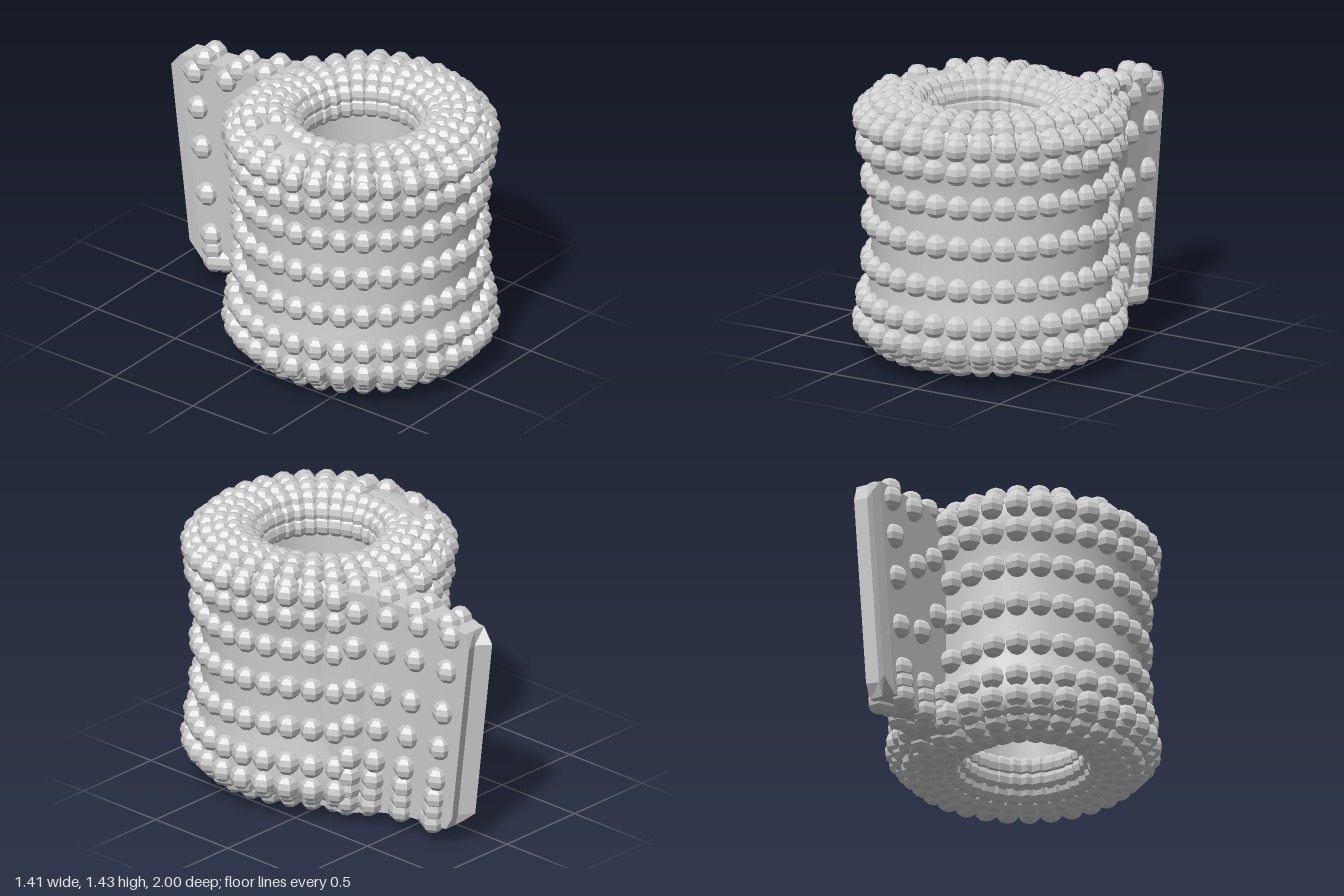
import * as THREE from 'three';
import { mergeGeometries } from 'three/addons/utils/BufferGeometryUtils.js';

const CENTRE_Z = 0.3;
const SEGMENTS = 32;
const BEAD_R = 0.065;

const clamp = THREE.MathUtils.clamp;

// The sleeve dips slightly where it meets the tab.
function sag(x, z) {
  return -0.06 * clamp((0.05 - z) / 0.35, 0, 1) * Math.exp(-Math.pow((x - 0.18) / 0.28, 2));
}

// Tab cross-sections from root to tip: z, left x, right x, bottom y, top y
const STATIONS = [
  [-0.1, 0.12, 0.44, 0.1, 1.31],
  [-0.2, 0.1, 0.38, 0.06, 1.31],
  [-0.28, 0.1, 0.32, 0.06, 1.3],
  [-0.38, 0.1, 0.28, 0.08, 1.28],
  [-0.52, 0.1, 0.25, 0.1, 1.26],
  [-0.72, 0.1, 0.24, 0.11, 1.25],
  [-0.81, 0.1, 0.24, 0.11, 1.24],
  [-0.885, 0.11, 0.24, 0.18, 1.16],
];

// The tab leans back with height, more so away from the root.
const lean = (y, z) => -0.12 * (y - 0.2) * clamp((-0.1 - z) / 0.25, 0, 1);

// Interpolated cross-section at a given z
function sectionAt(z) {
  let i = 0;
  while (i < STATIONS.length - 2 && STATIONS[i + 1][0] > z) i++;
  const a = STATIONS[i], b = STATIONS[i + 1];
  const t = clamp((z - a[0]) / (b[0] - a[0]), 0, 1);
  return a.map((v, k) => v + (b[k] - v) * t);
}

function makeSleeve() {
  const profile = [
    [0.57, 0.115], [0.62, 0.145], [0.645, 0.21], [0.63, 0.335], [0.607, 0.45], [0.604, 0.525],
    [0.602, 0.745], [0.604, 0.96], [0.61, 1.06], [0.63, 1.15], [0.645, 1.28], [0.615, 1.34],
    [0.57, 1.365], [0.5, 1.375], [0.43, 1.375], [0.375, 1.35], [0.345, 1.3], [0.335, 1.22],
    [0.33, 0.745], [0.335, 0.28], [0.345, 0.19], [0.375, 0.135], [0.43, 0.11], [0.5, 0.11], [0.57, 0.115],
  ].map(([r, y]) => new THREE.Vector2(r, y));
  const geo = new THREE.LatheGeometry(profile, SEGMENTS);
  geo.translate(0, 0, CENTRE_Z);
  const p = geo.attributes.position;
  for (let i = 0; i < p.count; i++) p.setY(i, p.getY(i) + sag(p.getX(i), p.getZ(i)));
  return geo;
}

function makeTab() {
  const n = STATIONS.length - 1;
  const geo = new THREE.BoxGeometry(1, 1, 1, 2, 5, n);
  const p = geo.attributes.position;
  for (let i = 0; i < p.count; i++) {
    const u = p.getX(i) + 0.5, v = p.getY(i) + 0.5;
    const k = Math.round((0.5 - p.getZ(i)) * n);
    const [z, left, right, bottom, top] = STATIONS[k];
    const y = bottom + (top - bottom) * v;
    // The tip is hollowed along its middle and shorter on its right edge
    const notch = k < n ? 0 : u < 0.1 ? 0 : u > 0.9 ? 0.04 : 0.06;
    p.setXYZ(i, left + (right - left) * u, y, z + lean(y, z) + notch);
  }
  geo.computeVertexNormals();
  return geo;
}

function mergeBeads(points) {
  const bead = new THREE.SphereGeometry(BEAD_R, 6, 6);
  return mergeGeometries(points.map(([x, y, z]) => bead.clone().translate(x, y, z)));
}

// Rings of beads: radius, height
function sleeveBeads() {
  const rows = [
    [0.645, 1.28], [0.63, 1.15], [0.604, 0.96], [0.602, 0.745], [0.604, 0.525], [0.63, 0.335], [0.645, 0.21],
  ];
  const rim = [[0.615, 0.065], [0.565, 0.015], [0.5, 0], [0.435, 0.005], [0.385, 0.03], [0.355, 0.08], [0.345, 0.145]];
  for (const [r, d] of rim) rows.push([r, 1.372 - d], [r, 0.112 + d]);
  const points = [];
  for (const [r, y] of rows) {
    for (let i = 0; i < SEGMENTS; i++) {
      const a = ((i + 0.5) / SEGMENTS) * Math.PI * 2;
      const x = r * Math.sin(a), z = CENTRE_Z + r * Math.cos(a);
      // Thinly covered patch on the upper rim
      const patch = y > 1.3 && r > 0.42 && r < 0.6 && x < -0.36 && z > -0.04 && z < 0.4;
      if (patch && (r < 0.55 || i % 2)) continue;
      // The tab root replaces the side rows behind it
      if (r > 0.6 && y > 0.2 && y < 1.25 && x > 0.1 && x < 0.34 && z < -0.15) continue;
      points.push([x, y + sag(x, z), z]);
    }
  }
  return points;
}

// Columns of beads on both faces of the tab, plus its top and bottom edges
function tabBeads() {
  const points = [];
  const low = [0.27, 0.2, 0.13];
  const rightRows = [1.2, 1.0, 0.76, 0.555, 0.375, ...low];
  const columns = [
    { base: -0.23, leftRows: [] },
    { base: -0.34, leftRows: [1.0, 0.7, ...low] },
    { base: -0.51, leftRows: [1.2, 0.9, 0.55, ...low] },
    { base: -0.72, leftRows: [1.18, 0.98, 0.76, 0.5, ...low] },
  ];
  for (const { base, leftRows } of columns) {
    const [, left, right, bottom, top] = sectionAt(base);
    for (const y of rightRows) points.push([right, y, base + lean(y, base)]);
    for (const y of leftRows) points.push([left, y, base + lean(y, base)]);
    for (const y of [bottom + 0.02, top]) {
      const z = base + lean(y, base) + 0.05;
      for (const t of [0.2, 0.8]) points.push([left + (right - left) * t, y, z]);
    }
  }
  return points;
}

export function createModel() {
  const group = new THREE.Group();
  const add = (name, geometry, flatShading) => {
    const material = new THREE.MeshStandardMaterial({ color: 0xcccccc, flatShading });
    const mesh = new THREE.Mesh(geometry, material);
    mesh.name = name;
    group.add(mesh);
  };
  add('sleeve', makeSleeve(), false);
  add('tab', makeTab(), true);
  add('sleeveBeads', mergeBeads(sleeveBeads()), true);
  add('tabBeads', mergeBeads(tabBeads()), true);
  return group;
}
